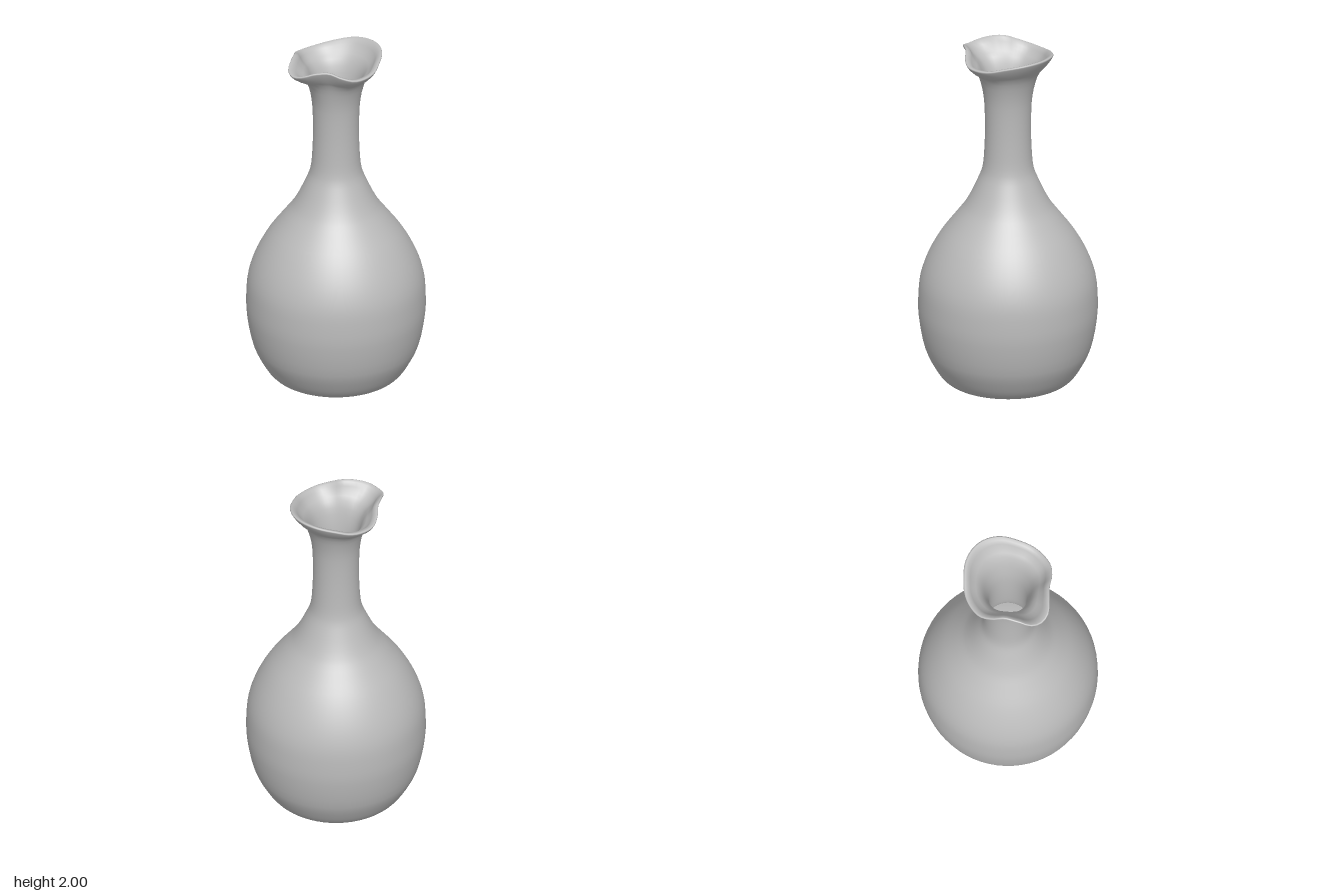
import * as THREE from 'three';
import { mergeVertices } from 'three/addons/utils/BufferGeometryUtils.js';

// Wall profile as [radius, height, share of the lip's ruffle]: base, outside, lip, inside, floor
const PROFILE = [
  [0, 0, 0], [0.15, 0, 0], [0.3, 0.002, 0], [0.345, 0.012, 0], [0.38, 0.04, 0], [0.42, 0.1, 0],
  [0.467, 0.2, 0], [0.502, 0.38, 0], [0.505, 0.5, 0], [0.494, 0.62, 0], [0.455, 0.74, 0],
  [0.385, 0.87, 0], [0.3, 0.985, 0], [0.238, 1.07, 0], [0.175, 1.2, 0], [0.145, 1.28, 0],
  [0.133, 1.4, 0], [0.13, 1.58, 0], [0.138, 1.72, 0], [0.168, 1.835, 0.15], [0.22, 1.89, 0.6],
  [0.257, 1.931, 0.97], [0.26, 1.942, 1], [0.252, 1.946, 1],
  [0.205, 1.91, 0.6], [0.147, 1.845, 0.15], [0.114, 1.72, 0], [0.105, 1.58, 0], [0.108, 1.4, 0],
  [0.12, 1.28, 0], [0.15, 1.2, 0], [0.215, 1.07, 0], [0.36, 0.87, 0], [0.465, 0.62, 0],
  [0.478, 0.4, 0], [0.44, 0.2, 0], [0.36, 0.06, 0], [0.3, 0.035, 0], [0.12, 0.03, 0], [0, 0.03, 0],
];

// Lip outline as [degrees from the spout, radius, height], mirrored left to right
const LIP = [
  [0, 0.312, 1.952], [12, 0.3, 1.965], [24, 0.265, 1.985], [42, 0.238, 1.99], [60, 0.25, 1.965],
  [75, 0.262, 1.947], [90, 0.26, 1.943], [108, 0.256, 1.95], [130, 0.25, 1.972],
  [155, 0.265, 1.993], [180, 0.273, 2.0],
];

// Smooth lookup of the lip's offset from its plain circle
function lipOffset(degrees) {
  let i = 0;
  while (i < LIP.length - 2 && LIP[i + 1][0] < degrees) i++;
  const [a, b] = [LIP[i], LIP[i + 1]];
  const t = THREE.MathUtils.clamp((degrees - a[0]) / (b[0] - a[0]), 0, 1);
  const slope = (k, c) => {
    if (k === 0 || k === LIP.length - 1) return 0;
    return (LIP[k + 1][c] - LIP[k - 1][c]) / (LIP[k + 1][0] - LIP[k - 1][0]);
  };
  const value = (c) => {
    const w = b[0] - a[0], t2 = t * t, t3 = t2 * t;
    return (2 * t3 - 3 * t2 + 1) * a[c] + (t3 - 2 * t2 + t) * w * slope(i, c)
      + (3 * t2 - 2 * t3) * b[c] + (t3 - t2) * w * slope(i + 1, c);
  };
  return [value(1) - 0.26, value(2) - 1.946];
}

export function createModel() {
  const group = new THREE.Group();
  group.name = 'carafe';
  const ceramic = new THREE.MeshStandardMaterial({ color: 0xbbbbbb });
  ceramic.name = 'grey ceramic';

  // Refine the profile, keeping the ruffle share as a third coordinate
  const curve = new THREE.CatmullRomCurve3(PROFILE.map((p) => new THREE.Vector3(...p)));
  const samples = curve.getPoints((PROFILE.length - 1) * 3);
  samples[0].x = samples[samples.length - 1].x = 0;
  const points = samples.map((p) => new THREE.Vector2(Math.max(p.x, 0), Math.max(p.y, 0)));

  // Turn the wall, then pull its lip into a spout and soft waves
  const segments = 64;
  const lathe = new THREE.LatheGeometry(points, segments);
  const pos = lathe.attributes.position;
  for (let s = 0; s <= segments; s++) {
    const angle = (s % segments) / segments * Math.PI * 2;
    const degrees = s % segments / segments * 360;
    const [dr, dy] = lipOffset(Math.min(degrees, 360 - degrees));
    samples.forEach((p, j) => {
      const share = THREE.MathUtils.clamp(p.z, 0, 1);
      const r = points[j].x + dr * share;
      pos.setXYZ(s * points.length + j, r * Math.sin(angle), points[j].y + dy * share, r * Math.cos(angle));
    });
  }

  // Weld the seam for smooth shading all round
  lathe.deleteAttribute('uv');
  lathe.deleteAttribute('normal');
  const geometry = mergeVertices(lathe, 1e-5);
  geometry.computeVertexNormals();

  const vessel = new THREE.Mesh(geometry, ceramic);
  vessel.name = 'vessel';
  group.add(vessel);
  return group;
}
